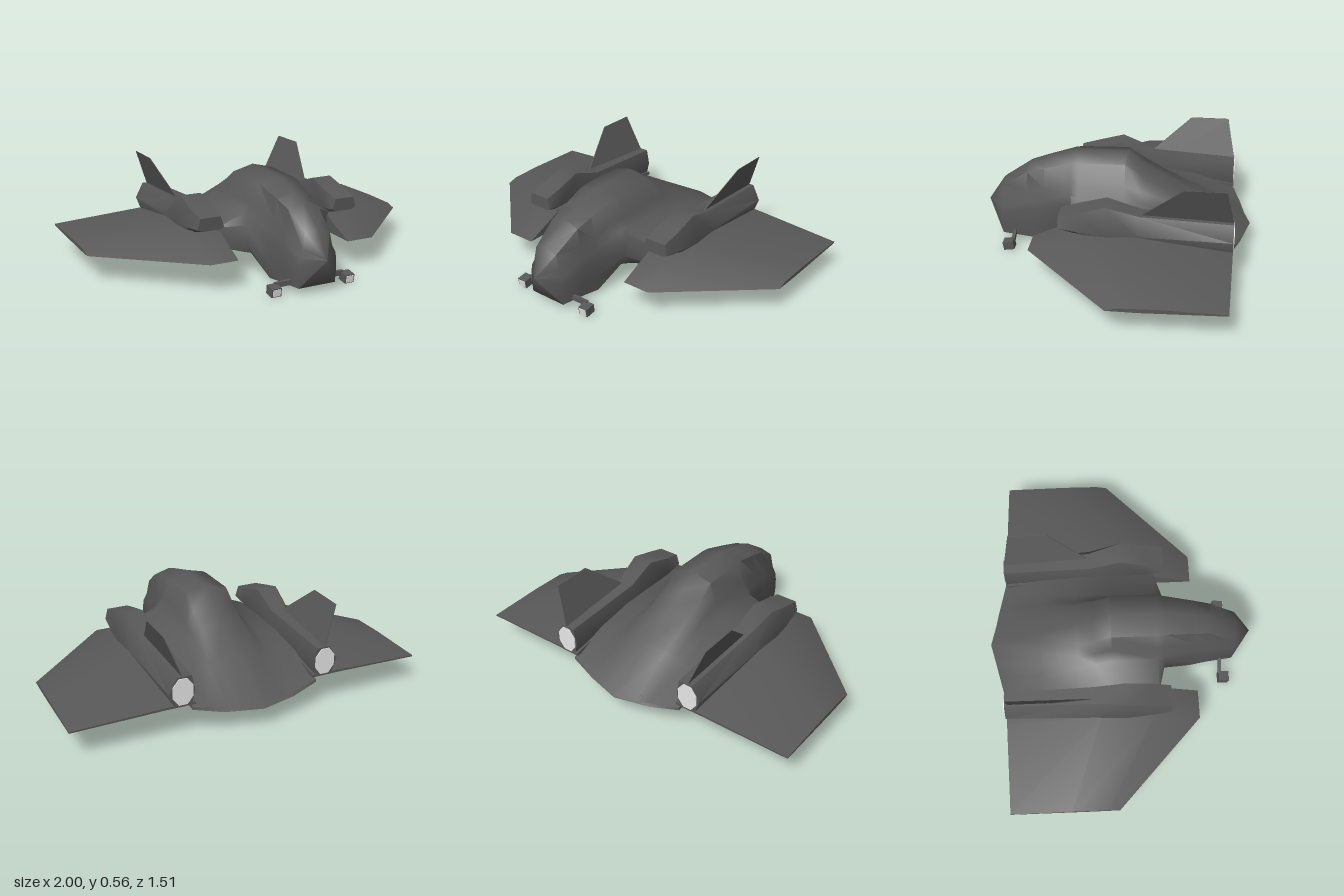
import * as THREE from 'three';
import { toCreasedNormals } from 'three/addons/utils/BufferGeometryUtils.js';

const hull = new THREE.MeshStandardMaterial({ color: 0x585858 });
hull.name = 'dark grey hull';
const glow = new THREE.MeshStandardMaterial({ color: 0xffffff });
glow.name = 'white light';

// Skin closed rings of [x, y, z] points, cap both ends and face everything outward.
function loft(rings, crease = 0.7) {
  const tris = [];
  const add = (a, b, c) => {
    const area = new THREE.Triangle(...[a, b, c].map(p => new THREE.Vector3(...p))).getArea();
    if (area > 1e-7) tris.push([a, b, c]);
  };
  const n = rings[0].length;
  for (let i = 0; i < rings.length - 1; i++) {
    for (let j = 0; j < n; j++) {
      const k = (j + 1) % n;
      add(rings[i][j], rings[i + 1][j], rings[i + 1][k]);
      add(rings[i][j], rings[i + 1][k], rings[i][k]);
    }
  }
  [rings[0], rings[rings.length - 1]].forEach((r, end) => {
    const c = [0, 1, 2].map(d => r.reduce((s, p) => s + p[d], 0) / n);
    for (let j = 0; j < n; j++) {
      const k = (j + 1) % n;
      if (end) add(c, r[k], r[j]); else add(c, r[j], r[k]);
    }
  });
  let volume = 0;
  for (const t of tris) {
    const [a, b, c] = t.map(p => new THREE.Vector3(...p));
    volume += a.dot(b.cross(c));
  }
  if (volume < 0) tris.forEach(t => t.reverse());
  const g = new THREE.BufferGeometry();
  g.setAttribute('position', new THREE.Float32BufferAttribute(tris.flat(2), 3));
  return toCreasedNormals(g, crease);
}

function mesh(name, geometry, material, parent) {
  const m = new THREE.Mesh(geometry, material);
  m.name = name;
  parent.add(m);
  return m;
}

function fuselage() {
  // z, roof height, roof x, flank x, outer x, outer top, outer bottom, keel x, keel height
  const sections = [
    [0.755, 0.2, 0, 0, 0, 0.2, 0.2, 0, 0.2],
    [0.66, 0.345, 0.07, 0.11, 0.115, 0.16, 0.09, 0.11, 0.037],
    [0.51, 0.45, 0.09, 0.122, 0.13, 0.2, 0.1, 0.125, 0.028],
    [0.41, 0.485, 0.1, 0.14, 0.145, 0.22, 0.11, 0.14, 0.02],
    [0.25, 0.53, 0.115, 0.185, 0.2, 0.28, 0.18, 0.17, 0.12],
    [0.21, 0.533, 0.12, 0.2, 0.35, 0.28, 0.17, 0.2, 0.12],
    [-0.05, 0.54, 0.12, 0.2, 0.36, 0.28, 0.165, 0.2, 0.12],
    [-0.14, 0.475, 0.12, 0.21, 0.36, 0.28, 0.165, 0.2, 0.12],
    [-0.24, 0.415, 0.12, 0.22, 0.36, 0.28, 0.165, 0.2, 0.12],
    [-0.45, 0.3, 0.12, 0.25, 0.36, 0.25, 0.165, 0.2, 0.12],
    [-0.755, 0.126, 0.12, 0.28, 0.36, 0.165, 0.15, 0.2, 0.12],
  ];
  const mix = THREE.MathUtils.lerp;
  return loft(sections.map(([z, roof, roofX, flankX, outerX, outerTop, outerLow, keelX, keel], i) => {
    const shoulder = roof - 0.08 * Math.max(0, roof - outerLow);
    const half = [
      [0, roof], [roofX, shoulder],
      [mix(roofX, flankX, 0.45), mix(shoulder, outerTop, 0.5)],
      [flankX, mix(shoulder, outerTop, 0.75)],
      [outerX, outerTop], [outerX, outerLow], [keelX, keel], [0, keel],
    ];
    // The tail edge sweeps forward away from the centreline.
    const sweep = i === sections.length - 1 ? 0.26 : 0;
    const point = s => ([x, y]) => [s * x, y, z + x * sweep];
    return [...half.map(point(1)), ...half.slice(1, -1).reverse().map(point(-1))];
  }), 1.1);
}

// One side of the craft; s is +1 for left and -1 for right.
function buildSide(s) {
  const side = new THREE.Group();
  side.name = s > 0 ? 'leftSide' : 'rightSide';

  // Wing sections of [z, y]: leading edge, upper crest, trailing edge, underside
  const wing = [
    [0.34, [[0.435, 0.16], [0.18, 0.272], [-0.12, 0.285], [-0.66, 0.195], [-0.66, 0.18], [-0.1, 0.164]]],
    [0.5, [[0.435, 0.16], [0.18, 0.272], [-0.12, 0.28], [-0.655, 0.19], [-0.655, 0.178], [-0.1, 0.162]]],
    [1, [[-0.04, 0.148], [-0.1, 0.166], [-0.3, 0.172], [-0.64, 0.168], [-0.64, 0.16], [-0.2, 0.147]]],
  ];
  mesh('wing', loft(wing.map(([x, pts]) => pts.map(([z, y]) => [s * x, y, z])), 0.8), hull, side);

  // Engine pod: z, roof height, waist height, floor, roof inner and outer x, waist outer x
  const pod = [
    [0.27, 0.36, 0.3, 0.288, 0.36, 0.48, 0.495],
    [0.17, 0.387, 0.29, 0.262, 0.355, 0.485, 0.505],
    [0.02, 0.43, 0.28, 0.18, 0.36, 0.48, 0.515],
    [-0.16, 0.37, 0.28, 0.18, 0.355, 0.45, 0.505],
    [-0.655, 0.345, 0.26, 0.18, 0.36, 0.44, 0.485],
  ];
  mesh('enginePod', loft(pod.map(([z, top, mid, low, inner, outer, waist]) => [
    [inner, top], [outer, top], [waist, mid], [waist - 0.03, low], [0.36, low], [0.342, mid],
  ].map(([x, y]) => [s * x, y, z])), 0.9), hull, side);

  // Exhaust plate closing the pod
  const exhaust = mesh('exhaust', new THREE.CylinderGeometry(0.072, 0.072, 0.008, 8, 1, false, Math.PI / 8), glow, side);
  exhaust.rotation.x = Math.PI / 2;
  exhaust.position.set(s * 0.41, 0.263, -0.656);
  exhaust.scale.set(0.85, 1, 1.1);

  // Outward-leaning tail fin
  const fin = [[0.42, 0.36, -0.16], [0.49, 0.557, -0.39], [0.49, 0.557, -0.61], [0.41, 0.34, -0.655]];
  mesh('tailFin', loft([-0.002, 0.002].map(t => fin.map(([x, y, z]) => [s * (x + t), y, z]))), hull, side);

  // Nose lamp on a short strut
  const lamp = new THREE.Group();
  lamp.name = 'noseLamp';
  lamp.position.set(s * 0.223, 0.029, 0.602);
  lamp.rotation.x = 0.15;
  mesh('lampHousing', new THREE.BoxGeometry(0.056, 0.048, 0.06), hull, lamp);
  mesh('lampFace', new THREE.BoxGeometry(0.044, 0.038, 0.004), glow, lamp).position.z = 0.031;
  side.add(lamp);
  mesh('lampStrut', loft([[0.1, 0.055, 0.59], [0.21, 0.048, 0.58]].map(([x, y, z]) =>
    [[-1, -1], [1, -1], [1, 1], [-1, 1]].map(([a, b]) => [s * x, y + a * 0.014, z + b * 0.009]))), hull, side);
  return side;
}

export function createModel() {
  const model = new THREE.Group();
  model.name = 'aircraft';
  mesh('fuselage', fuselage(), hull, model);
  model.add(buildSide(1), buildSide(-1));
  return model;
}
